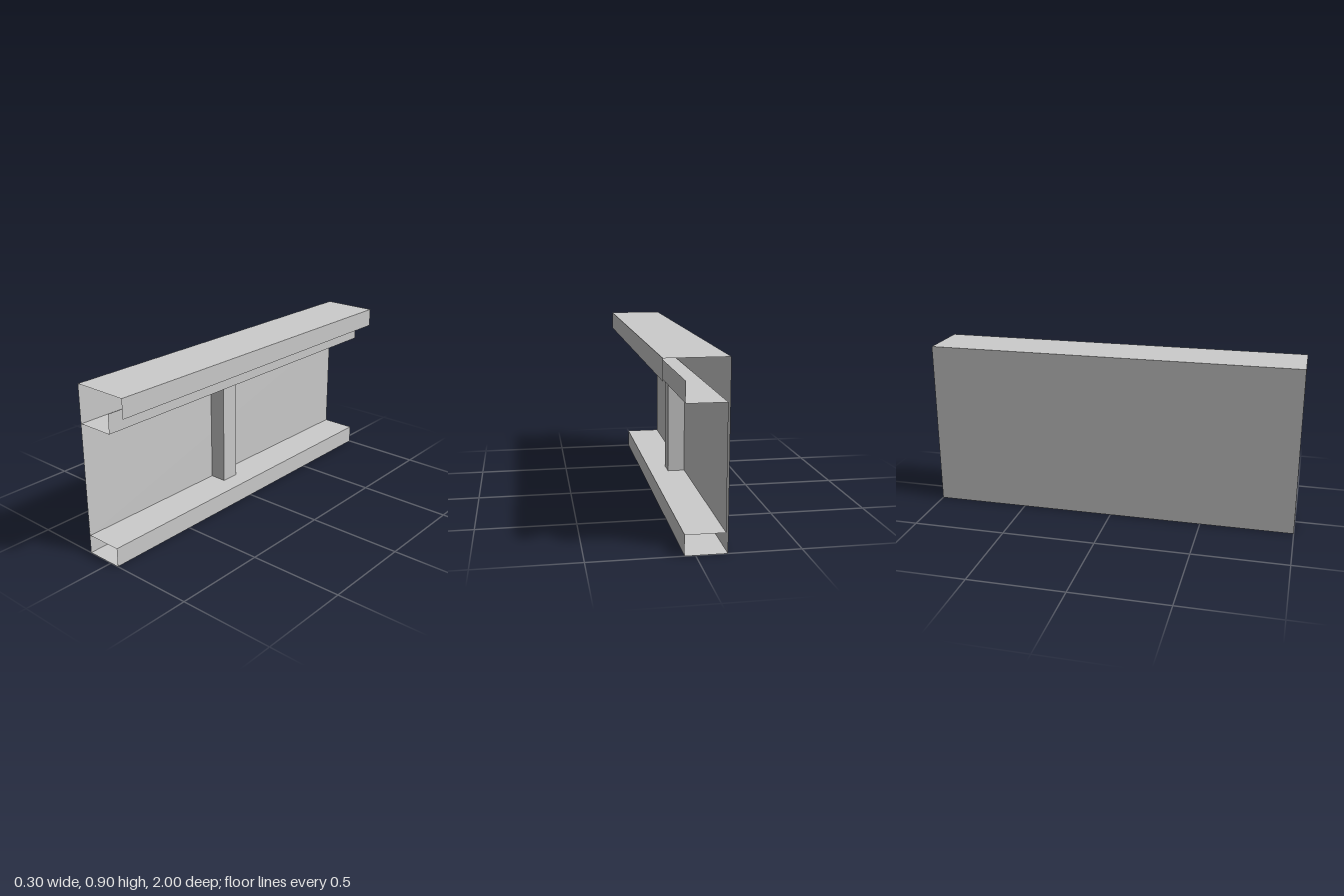
import * as THREE from 'three';

const material = new THREE.MeshStandardMaterial({ color: 0xcccccc, side: THREE.DoubleSide, flatShading: true });

// Thin sheet swept from z = 1 to z = -1 along a profile of [frontX, y, backX] points
function sheet(name, profile) {
  const positions = [];
  for (let i = 0; i < profile.length - 1; i++) {
    const [ax, ay, aBack = ax] = profile[i];
    const [bx, by, bBack = bx] = profile[i + 1];
    const a = [ax, ay, 1], b = [bx, by, 1], c = [bBack, by, -1], d = [aBack, ay, -1];
    positions.push(...a, ...c, ...b, ...a, ...d, ...c);
  }
  const geometry = new THREE.BufferGeometry();
  geometry.setAttribute('position', new THREE.Float32BufferAttribute(positions, 3));
  geometry.computeVertexNormals();
  const mesh = new THREE.Mesh(geometry, material);
  mesh.name = name;
  return mesh;
}

export function createModel() {
  const group = new THREE.Group();
  group.name = 'channelBeam';

  // Corners where the inner web meets the shelves; it leans slightly along its length
  const low = [-0.145, 0.1, -0.14];
  const high = [-0.147, 0.7, -0.14];

  group.add(
    sheet('topFlange', [[0.15, 0.8], [0.15, 0.9], [-0.15, 0.9]]),
    sheet('outerWeb', [[-0.15, 0.9], [-0.15, 0]]),
    sheet('bottomChannel', [[-0.15, 0], [0.05, 0], [0.05, 0.1], low]),
    sheet('innerWeb', [low, high]),
    sheet('upperShelf', [high, [0.05, 0.7], [0.05, 0.8]])
  );

  // Upright stiffener between the two shelves
  const post = new THREE.Mesh(new THREE.BoxGeometry(0.092, 0.6, 0.1), material);
  post.name = 'stiffenerPost';
  post.position.set(-0.096, 0.4, 0.063);
  group.add(post);

  return group;
}
